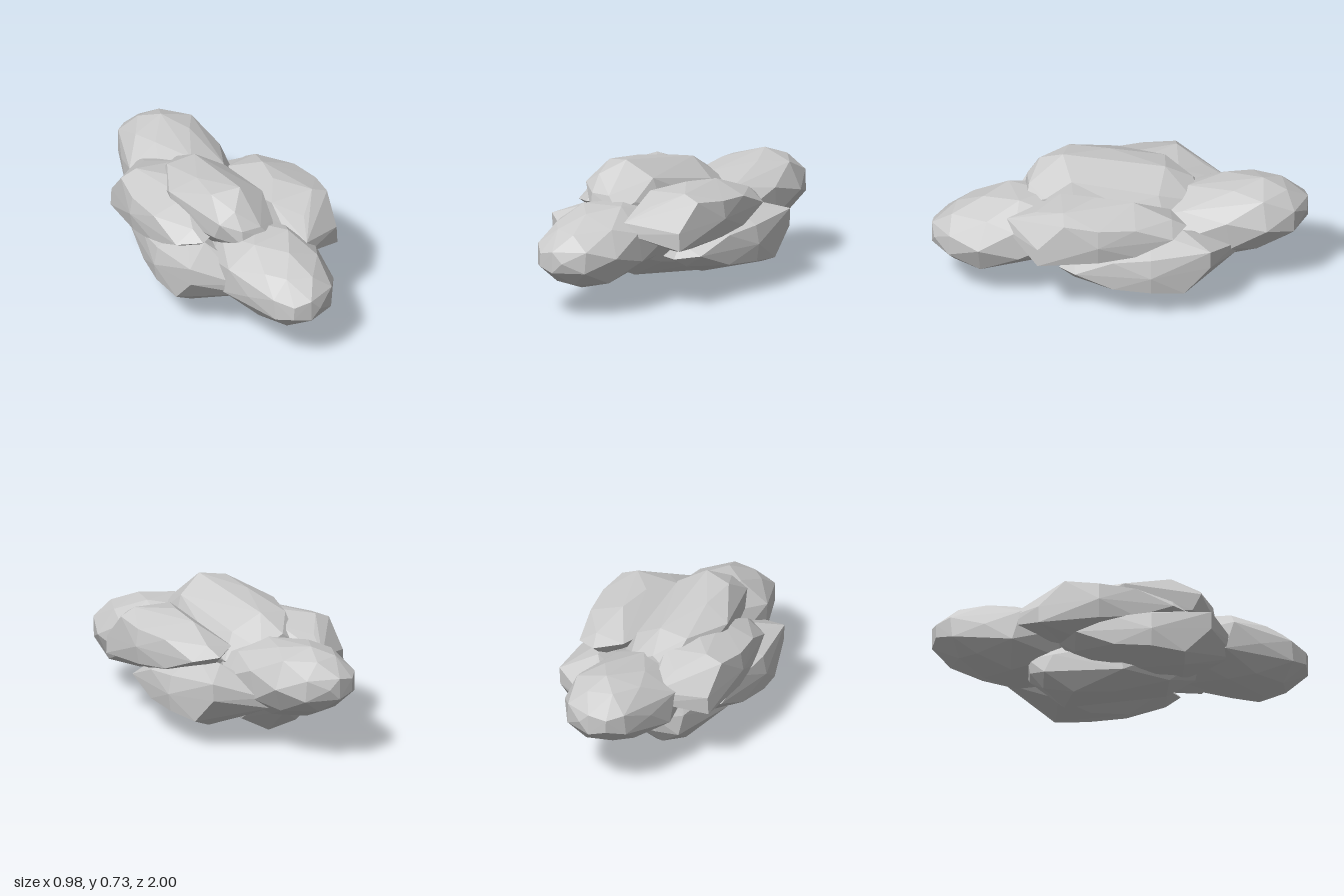
import * as THREE from 'three';
import { ConvexGeometry } from 'three/addons/geometries/ConvexGeometry.js';

const HEIGHT = 0.725;

// Rounded lobes as oval rings along z: [z, centre x, centre y, radius x, radius y]
const END_RINGS = [
  [0.99, -0.02, 0.31, 0.085, 0.06],
  [0.89, 0.0, 0.315, 0.18, 0.15],
  [0.74, 0.015, 0.325, 0.245, 0.2],
  [0.57, -0.01, 0.35, 0.29, 0.205],
  [0.35, -0.01, 0.36, 0.25, 0.175],
  [0.1, 0.0, 0.37, 0.15, 0.12],
];
const CROWN_RINGS = [
  [0.49, -0.06, 0.51, 0.1, 0.07],
  [0.4, -0.08, 0.52, 0.18, 0.13],
  [0.27, -0.06, 0.53, 0.21, 0.195],
  [0.03, -0.09, 0.49, 0.25, 0.19],
  [-0.23, -0.05, 0.46, 0.23, 0.18],
  [-0.4, -0.04, 0.46, 0.13, 0.09],
];

// Boxy side lobe as sections along z: [z, [x, y] corners...]
const SIDE_SECTIONS = [
  [0.61, [0.18, 0.48], [0.2, 0.42]],
  [0.46, [0.44, 0.335], [0.435, 0.43], [0.24, 0.55], [0.12, 0.5], [0.18, 0.36]],
  [0.32, [0.45, 0.575], [0.36, 0.61], [0.12, 0.59], [0.1, 0.4], [0.28, 0.285]],
  [0.14, [0.49, 0.46], [0.475, 0.555], [0.22, 0.62], [0.1, 0.42], [0.3, 0.275], [0.47, 0.36]],
  [-0.06, [0.45, 0.38], [0.45, 0.54], [0.26, 0.605], [0.1, 0.5], [0.27, 0.33]],
  [-0.26, [0.42, 0.46], [0.32, 0.53], [0.16, 0.5], [0.28, 0.41]],
  [-0.34, [0.3, 0.48]],
];

// Hull around staggered, gently uneven rings; lean tips the ovals sideways
function ringLobe(rings, lean, seed) {
  const points = [];
  rings.forEach(([z, cx, cy, rx, ry], k) => {
    const end = k === 0 || k === rings.length - 1;
    const sides = end ? 5 : 8;
    for (let i = 0; i < sides; i++) {
      const a = ((i + (k % 2) * 0.5) / sides) * Math.PI * 2;
      const atTop = Math.abs(a - Math.PI / 2) < 0.01;
      const r = atTop ? 1 : 1 + 0.03 * Math.sin(i * 2.4 + k * 1.7 + seed);
      const dx = Math.cos(a) * rx * r;
      points.push(new THREE.Vector3(
        cx + dx,
        cy + Math.sin(a) * ry * r + lean * dx,
        z + (end ? 0.01 : 0.03) * Math.sin(i * 1.9 + k + seed),
      ));
    }
  });
  return new ConvexGeometry(points);
}

// Hull around cornered sections
function sectionLobe(sections) {
  return new ConvexGeometry(sections.flatMap(([z, ...corners]) =>
    corners.map(([x, y]) => new THREE.Vector3(x, y, z))));
}

export function createModel() {
  const model = new THREE.Group();
  model.name = 'boulderCluster';
  const material = new THREE.MeshStandardMaterial({ color: 0xcccccc, flatShading: true });

  const half = new THREE.Group();
  half.name = 'frontHalf';
  const addLobe = (name, geometry) => {
    const mesh = new THREE.Mesh(geometry, material);
    mesh.name = name;
    half.add(mesh);
    return mesh;
  };
  addLobe('endLobe', ringLobe(END_RINGS, 0, 0));
  addLobe('crownLobe', ringLobe(CROWN_RINGS, -0.2, 2.1));

  // High side lobe on the left, the same lobe turned over low on the right
  const side = sectionLobe(SIDE_SECTIONS);
  addLobe('leftLobe', side);
  const right = addLobe('rightLobe', side);
  right.rotation.z = Math.PI;
  right.position.y = HEIGHT + 0.015;

  // The other half is a half turn about the x axis
  const turned = half.clone();
  turned.name = 'backHalf';
  turned.rotation.x = Math.PI;
  turned.position.y = HEIGHT;

  model.add(half, turned);
  return model;
}
